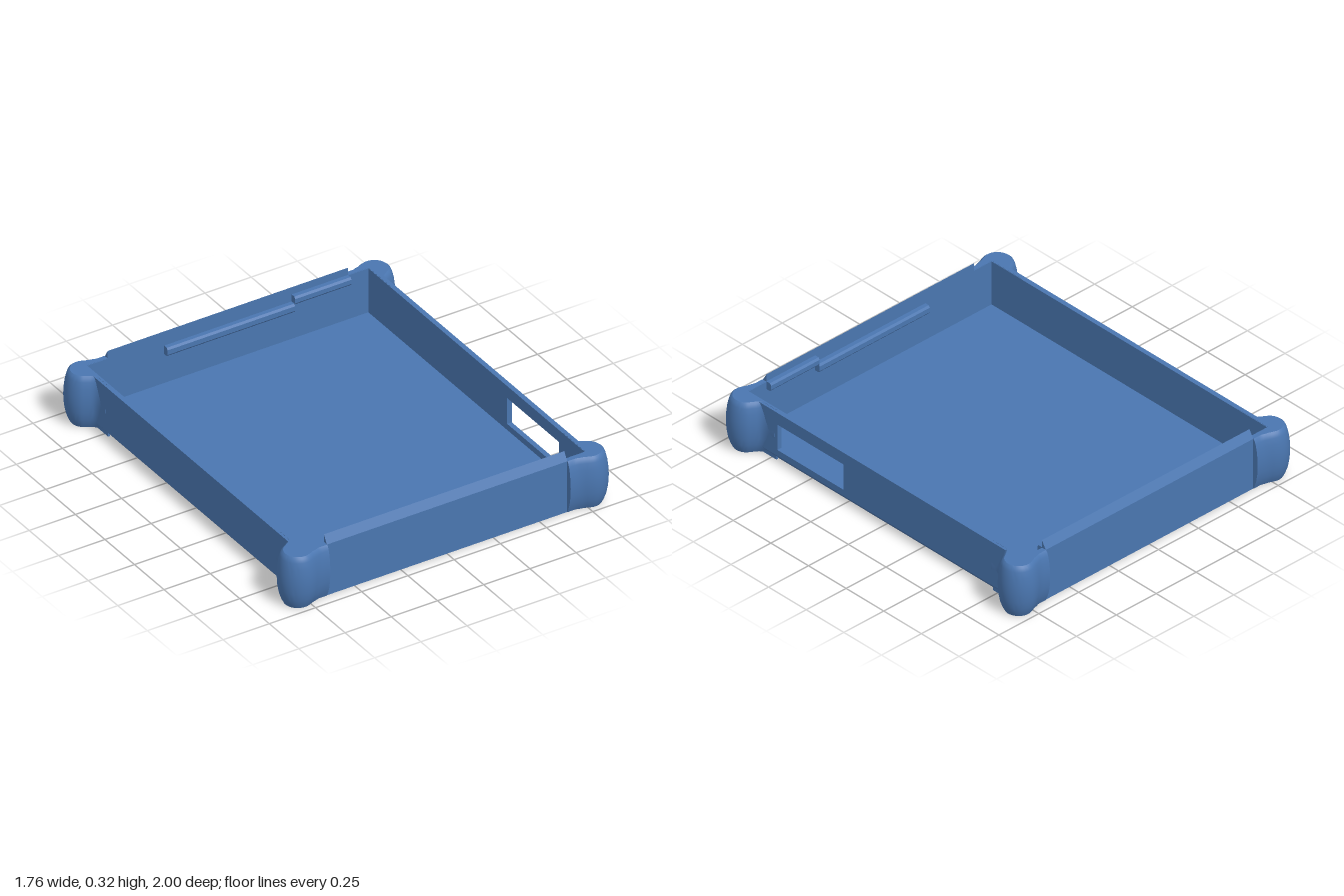
import * as THREE from 'three';
import { toCreasedNormals } from 'three/addons/utils/BufferGeometryUtils.js';

const W = 0.785, D = 0.94;        // outer half width and half depth
const IW = 0.76, ID = 0.915;      // inner half width and half depth
const FLOOR = 0.037, RIM = 0.275;

// Extrude a closed profile, centred along its length
function prism(points, length) {
  const shape = new THREE.Shape(points.map(([x, y]) => new THREE.Vector2(x, y)));
  return new THREE.ExtrudeGeometry(shape, { depth: length, bevelEnabled: false })
    .translate(0, 0, -length / 2);
}

// Side wall panel lying in the z-y plane, with an optional window
function sideWall(hasWindow) {
  const rect = (C, z0, z1, y0, y1) => {
    const s = new C();
    s.moveTo(-z0, y0).lineTo(-z1, y0).lineTo(-z1, y1).lineTo(-z0, y1).closePath();
    return s;
  };
  const shape = rect(THREE.Shape, D, -D, FLOOR, RIM);
  if (hasWindow) shape.holes.push(rect(THREE.Path, 0.26, 0.7, 0.07, 0.21));
  return new THREE.ExtrudeGeometry(shape, { depth: W - IW, bevelEnabled: false })
    .rotateY(Math.PI / 2);
}

// Corner bumper: plan outline stacked in layers, inset towards top and bottom
function bumper(sx, sz) {
  const cx = 0.785, cz = 0.903, r = 0.096;
  const pts = [[0.786, 0.72], [0.787, 0.77], [0.798, 0.796]];
  for (let a = -65; a <= 115; a += 20) {
    const t = THREE.MathUtils.degToRad(a);
    pts.push([cx + r * Math.cos(t), cz + r * Math.sin(t)]);
  }
  pts.push([0.71, 0.975], [0.685, 0.97], [0.65, 0.97]);
  const curve = new THREE.CatmullRomCurve3(
    pts.map(([x, z]) => new THREE.Vector3(x, 0, z)), false, 'centripetal');
  const N = 48;
  const samples = Array.from({ length: N + 1 }, (_, i) =>
    [curve.getPointAt(i / N), curve.getTangentAt(i / N)]);

  const layers = [[0, 0.03], [0.02, 0.02], [0.05, 0.01], [0.09, 0.003], [0.14, 0],
    [0.18, 0.002], [0.22, 0.007], [0.25, 0.014], [0.268, 0.021], [0.276, 0.03]];
  const rings = layers.map(([y, inset]) => {
    const ring = samples.map(([p, t]) => {
      let x = p.x - t.z * inset, z = p.z + t.x * inset;
      if (p.z < 0.85) x = Math.max(x, 0.772);
      if (p.x < 0.72) { x = p.x; z = Math.max(z, 0.942); }
      return new THREE.Vector3(x, y, z);
    });
    for (const [x, z] of [[0.65, 0.918], [0.763, 0.918], [0.763, 0.72]])
      ring.push(new THREE.Vector3(x, y, z));
    return ring;
  });

  const out = [];
  const tri = (a, b, c) => {
    for (const v of sx * sz > 0 ? [a, b, c] : [a, c, b]) out.push(v.x * sx, v.y, v.z * sz);
  };
  const n = rings[0].length;
  for (let j = 0; j < rings.length - 1; j++) {
    for (let i = 0; i < n; i++) {
      const k = (i + 1) % n;
      const [a, b, c, d] = [rings[j][i], rings[j][k], rings[j + 1][i], rings[j + 1][k]];
      tri(a, c, b);
      tri(b, c, d);
    }
  }
  // Flat caps
  const cap = (ring, up) => {
    const flat = ring.map(v => new THREE.Vector2(v.x, v.z));
    for (const [a, b, c] of THREE.ShapeUtils.triangulateShape(flat, []))
      up ? tri(ring[a], ring[c], ring[b]) : tri(ring[a], ring[b], ring[c]);
  };
  cap(rings[0], false);
  cap(rings[rings.length - 1], true);

  const geo = new THREE.BufferGeometry();
  geo.setAttribute('position', new THREE.Float32BufferAttribute(out, 3));
  return toCreasedNormals(geo, 0.6);
}

export function createModel() {
  const group = new THREE.Group();
  const blue = new THREE.MeshStandardMaterial({ color: 0x4a76b0 });
  blue.name = 'caseBlue';
  const add = (name, geo, x = 0, y = 0, z = 0) => {
    const mesh = new THREE.Mesh(geo, blue);
    mesh.name = name;
    mesh.position.set(x, y, z);
    group.add(mesh);
    return mesh;
  };

  // Floor with chamfered long edges
  add('floor', prism([[-0.755, 0], [0.755, 0], [W, FLOOR], [-W, FLOOR]], 2 * D));

  // Long side walls, the left one with a window
  add('leftWall', sideWall(true), IW);
  add('rightWall', sideWall(false), -W);

  for (const s of [1, -1]) {
    const end = s > 0 ? 'front' : 'back';
    // End wall
    add(end + 'Wall', new THREE.BoxGeometry(2 * IW, RIM - FLOOR, D - ID),
      0, (RIM + FLOOR) / 2, s * (D + ID) / 2);

    // Wedge lip on the rim: upright inside, sloping outside
    const lip = [[s * ID, RIM], [s * D, RIM], [s * ID, 0.317]];
    add(end + 'Lip', prism(lip, 1.3).rotateY(-Math.PI / 2));

    // Retaining ridges on the inside of the wall
    const ridge = (name, x0, x1, y0, y1) => {
      const profile = [[s * ID, y0], [s * 0.893, y0], [s * 0.885, y0 + 0.01],
        [s * 0.885, y1 - 0.01], [s * 0.893, y1], [s * ID, y1]];
      add(end + name, prism(profile, x1 - x0).rotateY(-Math.PI / 2), (x0 + x1) / 2);
    };
    ridge('LongRidge', -0.345, 0.345, 0.195, 0.24);
    ridge('ShortRidge', 0.345, 0.65, 0.235, 0.278);

    // Corner bumpers
    for (const sx of [1, -1])
      add(end + (sx > 0 ? 'Left' : 'Right') + 'Bumper', bumper(sx, s));
  }
  return group;
}
